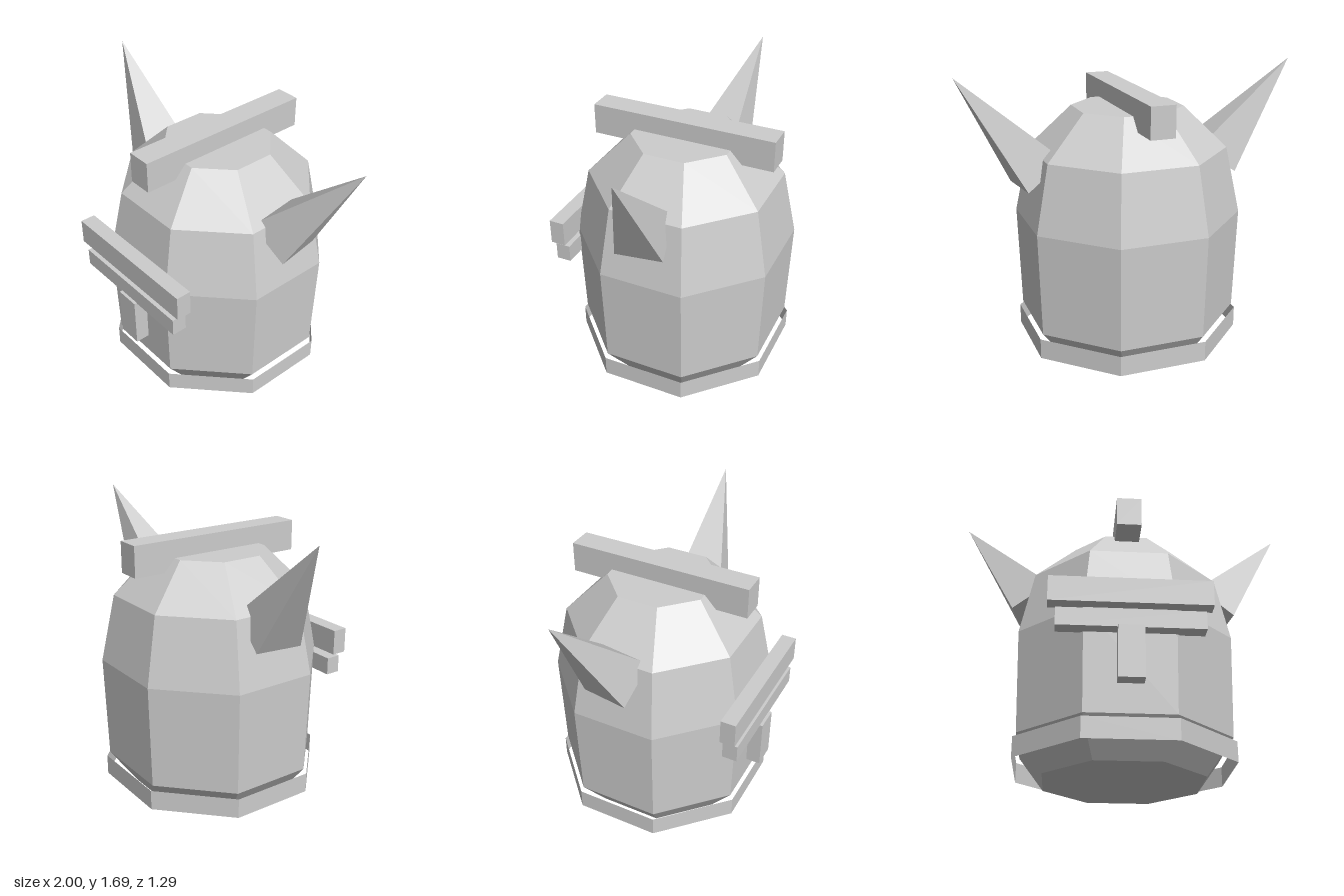
import * as THREE from 'three';

const grey = new THREE.MeshStandardMaterial({ color: 0xcccccc, flatShading: true, side: THREE.DoubleSide });
grey.name = 'plain grey';

// Eight-sided shell with flats facing the axes; profile is [apothem, y], bottom to top
function octagon(name, profile) {
  const points = profile.map(([a, y]) => new THREE.Vector2(a / Math.cos(Math.PI / 8), y));
  const mesh = new THREE.Mesh(new THREE.LatheGeometry(points, 8, Math.PI / 8), grey);
  mesh.name = name;
  mesh.scale.z = 0.968;
  mesh.position.z = -0.043;
  return mesh;
}

// Box given by its half width and its y and z ranges
function bar(name, halfWidth, y0, y1, z0, z1) {
  const mesh = new THREE.Mesh(new THREE.BoxGeometry(2 * halfWidth, y1 - y0, z1 - z0), grey);
  mesh.name = name;
  mesh.position.set(0, (y0 + y1) / 2, (z0 + z1) / 2);
  return mesh;
}

// Four-sided spike whose inner base corners are sunk into the shell
function horn(name, side) {
  const tip = [1, 1.69, -0.12];
  const base = [[0.675, 1.04, 0.075], [0.635, 1.04, -0.195], [0.415, 1.2, -0.16], [0.455, 1.2, 0.11]];
  const triangles = [[base[0], base[2], base[1]], [base[0], base[3], base[2]]];
  base.forEach((corner, i) => triangles.push([corner, base[(i + 1) % 4], tip]));
  const positions = [];
  for (const [a, b, c] of triangles) {
    for (const p of side > 0 ? [a, b, c] : [a, c, b]) positions.push(side * p[0], p[1], p[2]);
  }
  const geometry = new THREE.BufferGeometry();
  geometry.setAttribute('position', new THREE.Float32BufferAttribute(positions, 3));
  geometry.computeVertexNormals();
  const mesh = new THREE.Mesh(geometry, grey);
  mesh.name = name;
  return mesh;
}

export function createModel() {
  const model = new THREE.Group();
  model.name = 'hornedHelmet';
  model.add(
    octagon('helmetShell', [[0, 0], [0.455, 0], [0.603, 0.21], [0.62, 0.82], [0.54, 1.215], [0.302, 1.46], [0, 1.46]]),
    octagon('lowerBand', [[0.621, 0.065], [0.621, 0.185]]), // open hoop
    bar('crest', 0.072, 1.385, 1.565, -0.59, 0.505),
    bar('browBar', 0.452, 0.81, 0.96, 0.538, 0.627),
    bar('eyeBar', 0.407, 0.665, 0.77, 0.538, 0.627),
    bar('noseGuard', 0.072, 0.37, 0.67, 0.56, 0.645),
    horn('leftHorn', 1),
    horn('rightHorn', -1)
  );
  return model;
}
